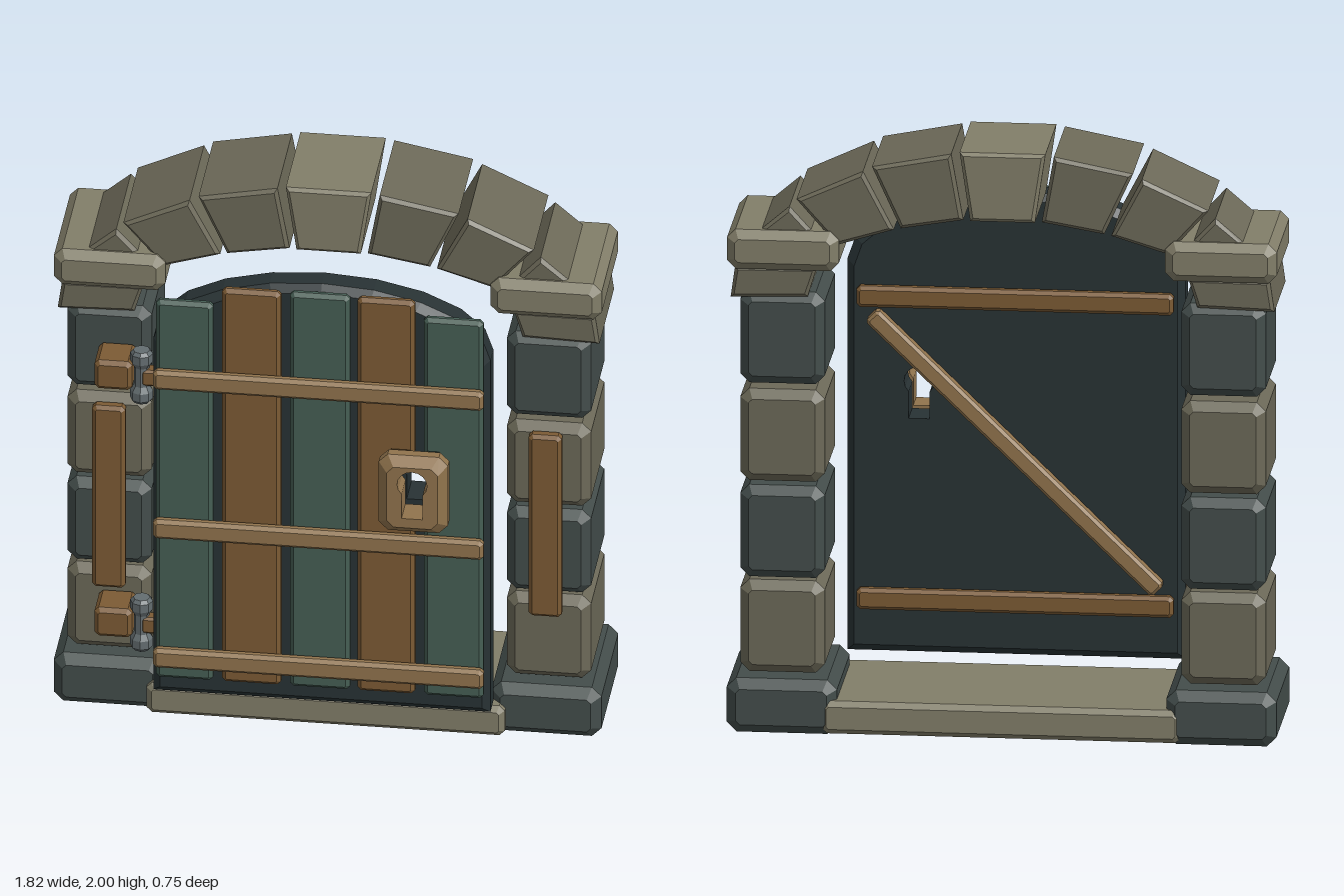
import * as THREE from 'three';

const mat = (color) => new THREE.MeshStandardMaterial({ color, flatShading: true });
const M = {
  stone: mat(0x6c6958), paleStone: mat(0x827e69), darkStone: mat(0x434d4b),
  door: mat(0x283234), teal: mat(0x465e54), brown: mat(0x7c5b34),
  wood: mat(0x91744d), iron: mat(0x646d70),
};
const V = (p) => new THREE.Vector2(p[0], p[1]);

// Outline in x-y, extruded from z0 to z1 with chamfered rims
function prism(pts, z0, z1, c) {
  const geo = new THREE.ExtrudeGeometry(new THREE.Shape(pts.map(V)), {
    depth: z1 - z0 - 2 * c, bevelEnabled: true, bevelThickness: c, bevelSize: c,
    bevelOffset: -c, bevelSegments: 1, steps: 1,
  });
  return geo.translate(0, 0, z0 + c);
}

// Rectangle outline with cut corners
const cutRect = (x0, x1, y0, y1, c) => [
  [x0 + c, y0], [x1 - c, y0], [x1, y0 + c], [x1, y1 - c],
  [x1 - c, y1], [x0 + c, y1], [x0, y1 - c], [x0, y0 + c],
];
const block = (x0, x1, y0, y1, z0, z1, c) => prism(cutRect(x0, x1, y0, y1, c), z0, z1, c);

// Keyhole outline: slot below a round eye
const KX = 0.32;
function keyhole() {
  const pts = [[KX - 0.035, 0.955], [KX + 0.035, 0.955]];
  for (let i = 0; i <= 12; i++) {
    const a = THREE.MathUtils.degToRad(-46 + (272 * i) / 12);
    pts.push([KX + 0.05 * Math.cos(a), 1.083 + 0.05 * Math.sin(a)]);
  }
  return pts;
}

// Slab pierced by the keyhole; only the outer rim is chamfered
function pierced(pts, z0, z1, steps, c) {
  const shape = new THREE.Shape(pts.map(V));
  shape.holes.push(new THREE.Path(keyhole().map(V)));
  const geo = new THREE.ExtrudeGeometry(shape, { depth: z1 - z0, steps, bevelEnabled: false });
  geo.computeBoundingBox();
  const mid = geo.boundingBox.getCenter(new THREE.Vector3());
  const size = geo.boundingBox.getSize(new THREE.Vector3());
  const p = geo.attributes.position;
  for (let i = 0; i < p.count; i++) {
    const x = p.getX(i), y = p.getY(i), z = p.getZ(i);
    const inHole = Math.abs(x - KX) < 0.07 && Math.abs(y - 1.045) < 0.12;
    if (inHole || (z > 1e-5 && z < z1 - z0 - 1e-5)) continue;
    p.setXY(i, mid.x + (x - mid.x) * (1 - 2 * c / size.x), mid.y + (y - mid.y) * (1 - 2 * c / size.y));
  }
  geo.computeVertexNormals();
  return geo.translate(0, 0, z0);
}

export function createModel() {
  const root = new THREE.Group();
  root.name = 'stoneDoorway';
  const group = (name) => {
    const g = new THREE.Group();
    g.name = name;
    root.add(g);
    return g;
  };
  const add = (parent, name, geo, material) => {
    const m = new THREE.Mesh(geo, material);
    m.name = name;
    parent.add(m);
    return m;
  };

  // Pillars: base, four stacked stones, cap and batten on each side
  const ZB = -0.32, ZF = 0.065;
  for (const s of [-1, 1]) {
    const g = group(s > 0 ? 'leftPillar' : 'rightPillar');
    const sided = (a, b, ...rest) => block(Math.min(s * a, s * b), Math.max(s * a, s * b), ...rest);
    add(g, 'base', sided(0.545, 0.91, 0, 0.185, -0.37, 0.11, 0.032), M.darkStone);
    [0.195, 0.52, 0.85, 1.185].forEach((y, i) => {
      add(g, 'pillarStone', sided(0.59, 0.87, y, y + 0.315, ZB, ZF, 0.03), i % 2 ? M.darkStone : M.stone);
    });
    add(g, 'cap', sided(0.54, 0.91, 1.585, 1.72, -0.355, 0.1, 0.028), M.paleStone);
    add(g, 'batten', sided(0.67, 0.78, 0.455, 1.145, ZF - 0.005, 0.107, 0.012), M.brown);
  }

  // Arch: wedge stones mirrored about the keystone
  const arch = group('arch');
  add(arch, 'keystone', prism([[-0.107, 1.765], [0.107, 1.765], [0.142, 2], [-0.142, 2]], ZB, ZF, 0.012), M.paleStone);
  const wedges = [
    [[0.13, 1.768], [0.337, 1.733], [0.432, 1.942], [0.17, 1.993]],
    [[0.36, 1.728], [0.548, 1.67], [0.682, 1.823], [0.462, 1.925]],
    [[0.57, 1.65], [0.66, 1.585], [0.86, 1.665], [0.705, 1.798]],
    [[0.645, 1.49], [0.9, 1.483], [0.885, 1.59], [0.615, 1.59]],
  ];
  for (const s of [-1, 1]) {
    for (const w of wedges) add(arch, 'archStone', prism(w.map(([x, y]) => [s * x, y]), ZB, ZF, 0.012), M.stone);
  }

  add(root, 'threshold', block(-0.595, 0.595, 0.008, 0.12, -0.375, 0.145, 0.018), M.paleStone);

  // Door slab with a rounded top
  const door = group('door');
  const outline = [[-0.56, 0.15], [0.56, 0.15]];
  for (let i = 0; i <= 10; i++) {
    const a = (Math.PI * i) / 10;
    outline.push([0.56 * Math.cos(a), 1.49 + 0.25 * Math.sin(a)]);
  }
  add(door, 'slab', pierced(outline, 0.125, 0.245, 5, 0.025), M.door);

  // Planks; the two behind the lock are notched around the keyhole
  const planks = [
    [-0.545, -0.355, 1.665], [-0.325, -0.13, 1.725], [-0.1, 0.1, 1.728],
    [0.125, 0.315, 1.725], [0.345, 0.543, 1.665],
  ];
  planks.forEach(([x0, x1, top], i) => {
    const pts = cutRect(x0, x1, 0.228, top, 0.012);
    if (i === 3) pts.splice(3, 0, [x1, 0.93], [0.25, 0.93], [0.25, 1.15], [x1, 1.15]);
    if (i === 4) pts.splice(7, 0, [x0, 1.15], [0.385, 1.15], [0.385, 0.93], [x0, 0.93]);
    add(door, 'plank', prism(pts, 0.243, 0.281, 0.013), i % 2 ? M.brown : M.teal);
  });

  // Front straps, back straps and the diagonal brace
  for (const y of [0.32, 0.812, 1.38]) {
    add(door, 'frontStrap', block(-0.55, 0.548, y - 0.036, y + 0.036, 0.277, 0.317, 0.012), M.wood);
  }
  for (const y of [0.34, 1.377]) {
    add(door, 'backStrap', block(-0.525, 0.525, y - 0.036, y + 0.036, 0.085, 0.128, 0.012), M.brown);
  }
  const brace = add(door, 'brace', block(-0.66, 0.66, -0.03, 0.03, 0.075, 0.128, 0.01), M.wood);
  brace.position.set(0, 0.857, 0);
  brace.rotation.z = Math.atan2(0.93, 0.96);

  add(door, 'lockPlate', pierced(cutRect(0.205, 0.435, 0.89, 1.178, 0.03), 0.278, 0.375, 3, 0.03), M.wood);

  // Hinges: wooden block on the pillar, waisted iron barrel, short arm to the door
  for (const y of [0.375, 1.318]) {
    const g = group('hinge');
    add(g, 'hingeBlock', block(-0.76, -0.635, y - 0.054, y + 0.054, 0.06, 0.2, 0.014), M.brown);
    const profile = [[0, -0.097], [0.028, -0.097], [0.038, -0.085], [0.038, -0.055], [0.026, -0.035],
      [0.026, 0.035], [0.038, 0.055], [0.038, 0.085], [0.028, 0.097], [0, 0.097]];
    add(g, 'barrel', new THREE.LatheGeometry(profile.map(V), 8), M.iron).position.set(-0.605, y, 0.175);
    add(g, 'hingeArm', block(-0.605, -0.545, y - 0.03, y + 0.03, 0.15, 0.2, 0.008), M.brown);
  }
  return root;
}
